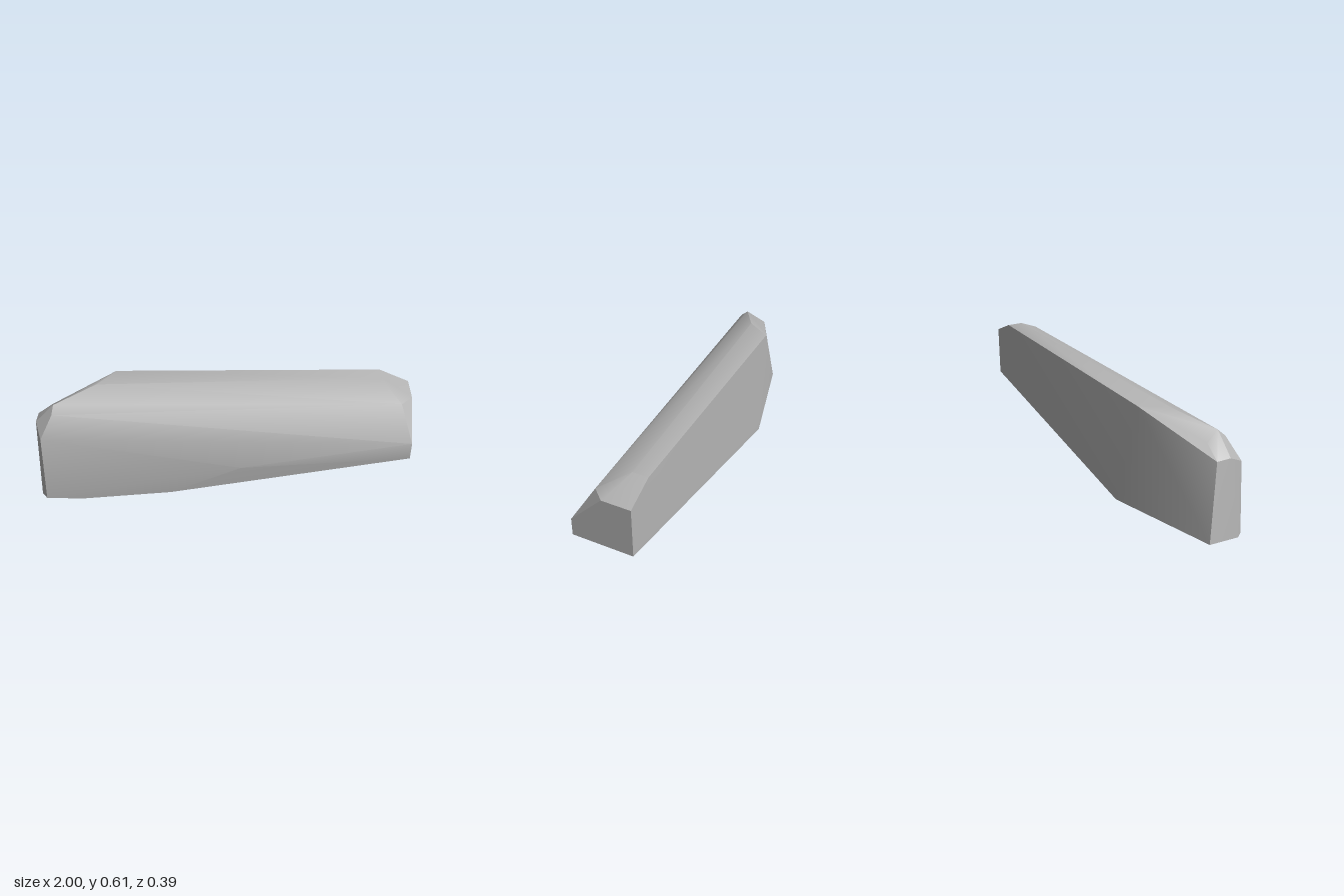
import * as THREE from 'three';
import { ConvexGeometry } from 'three/addons/geometries/ConvexGeometry.js';
import { toCreasedNormals } from 'three/addons/utils/BufferGeometryUtils.js';

export function createModel() {
  const group = new THREE.Group();
  group.name = 'model';
  const grey = new THREE.MeshStandardMaterial({ color: 0xb4b4b4 });
  grey.name = 'grey';

  // Corners of the narrow end cap, with one bevelled corner
  const endCap = [
    [1, 0.265, 0.125], [1, 0.36, 0.125], [1, 0.535, -0.045],
    [1, 0.535, -0.197], [1, 0.265, -0.197],
  ];
  // Rounded shoulder behind the cap and along the top
  const shoulder = [
    [0.94, 0.535, 0.02], [0.84, 0.605, -0.115], [0.84, 0.605, -0.197],
    [-0.64, 0.588, -0.03], [-0.55, 0.59, -0.16],
  ];
  // Flat front panel and sloping underside
  const panel = [
    [0.12, 0.235, 0.197], [-0.25, 0.06, 0.197], [-0.73, 0, 0.197],
    [-0.92, 0, 0.197], [-0.42, 0.047, -0.197],
  ];
  // Chamfered tall end
  const tallEnd = [
    [-1, 0.045, -0.04], [-0.95, 0, 0.16], [-0.915, 0.38, 0.18],
    [-0.95, 0.43, 0.09], [-0.95, 0.43, 0.015], [-0.87, 0.49, 0.015],
    [-0.855, 0.497, 0.125], [-0.85, 0.533, 0.085],
  ];

  const points = [...endCap, ...shoulder, ...panel, ...tallEnd]
    .map((p) => new THREE.Vector3(...p));
  const body = new THREE.Mesh(toCreasedNormals(new ConvexGeometry(points), 0.5), grey);
  body.name = 'body';
  group.add(body);
  return group;
}
